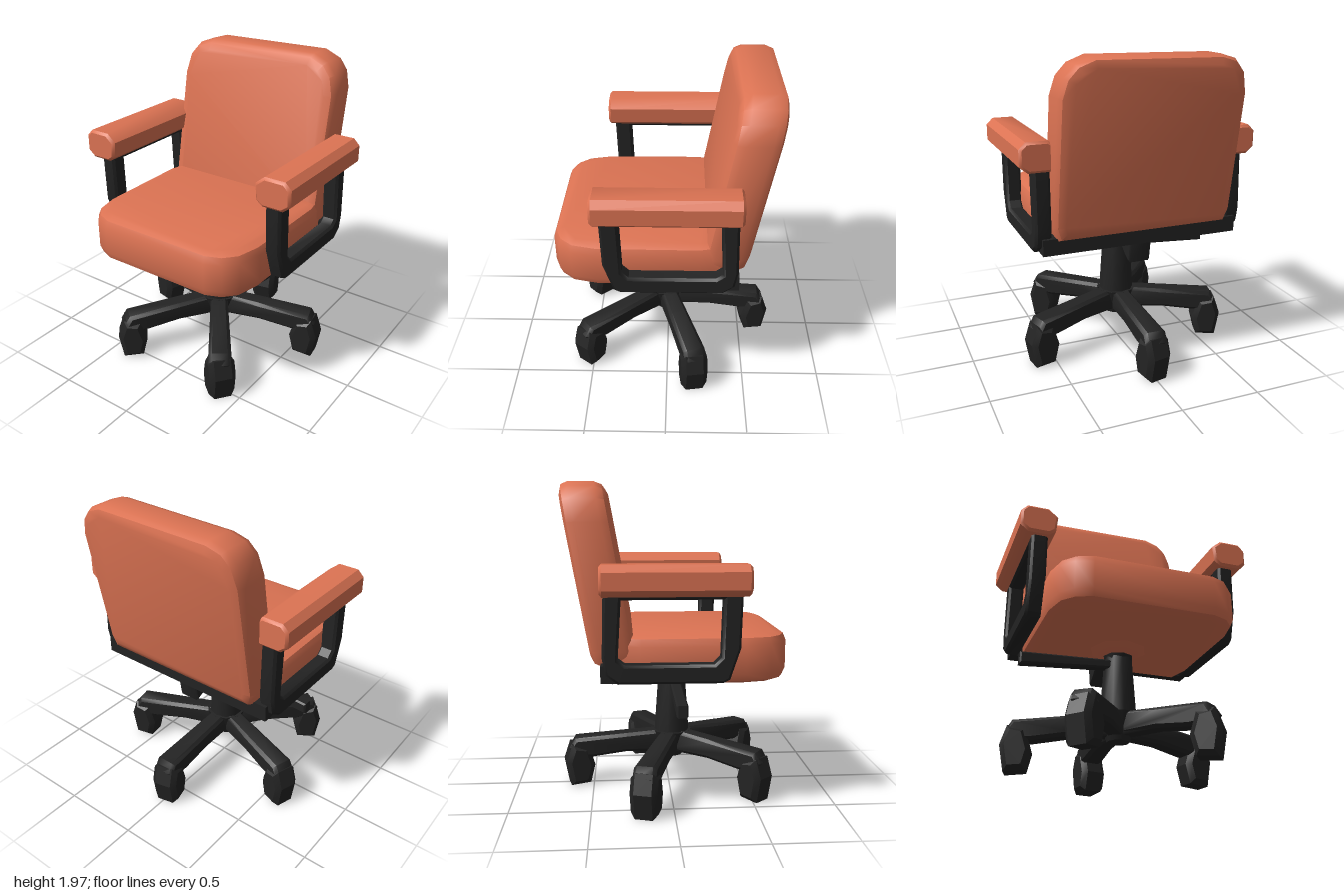
import * as THREE from 'three';
import { toCreasedNormals } from 'three/addons/utils/BufferGeometryUtils.js';

const upholstery = new THREE.MeshStandardMaterial({ color: 0xdc7353 });
upholstery.name = 'orange upholstery';
const plastic = new THREE.MeshStandardMaterial({ color: 0x232323 });
plastic.name = 'black plastic';

const path = (pts) => pts.map(([x, y]) => new THREE.Vector2(x, y));

// Bevelled slab of an outline, centred on its own depth
function slab(pts, depth, bevel, holes = [], segments = 2) {
  const shape = new THREE.Shape(path(pts));
  holes.forEach((h) => shape.holes.push(new THREE.Path(path(h))));
  const geo = new THREE.ExtrudeGeometry(shape, {
    depth: depth - 2 * bevel, bevelEnabled: true, bevelThickness: bevel,
    bevelSize: bevel, bevelOffset: -bevel, bevelSegments: segments,
  });
  return geo.translate(0, 0, -(depth - 2 * bevel) / 2);
}

// Moves every vertex by a rule
function warp(geo, rule) {
  const p = geo.attributes.position;
  const v = new THREE.Vector3();
  for (let i = 0; i < p.count; i++) {
    rule(v.fromBufferAttribute(p, i));
    p.setXYZ(i, v.x, v.y, v.z);
  }
  return geo;
}

export function createModel() {
  const chair = new THREE.Group();
  chair.name = 'officeChair';

  function add(name, geo, material, crease = 0.75, parent = chair) {
    const mesh = new THREE.Mesh(toCreasedNormals(geo, crease), material);
    mesh.name = name;
    parent.add(mesh);
    return mesh;
  }

  // Seat cushion, rounded at its front corners
  const seat = slab([
    [-0.54, -0.36], [0.54, -0.36], [0.58, -0.2], [0.575, 0.42], [0.54, 0.57], [0.47, 0.65], [0.37, 0.69],
    [-0.37, 0.69], [-0.47, 0.65], [-0.54, 0.57], [-0.575, 0.42], [-0.58, -0.2],
  ], 0.29, 0.06);
  add('seat', seat.rotateX(Math.PI / 2).translate(0, 0.965, 0), upholstery);

  // Leaning backrest
  const back = slab([
    [-0.54, 0.93], [0.54, 0.93], [0.57, 1.02], [0.57, 1.78], [0.54, 1.89], [0.48, 1.96], [0.38, 2.0],
    [-0.38, 1.99], [-0.48, 1.96], [-0.54, 1.89], [-0.57, 1.76], [-0.57, 1.02],
  ], 0.27, 0.06);
  warp(back, (v) => { v.z += -0.365 - 0.18 * (v.y - 1.05); });
  add('backrest', back, upholstery);

  // Armrest pads and their looped frames
  for (const side of [1, -1]) {
    const pad = slab([
      [0.53, 1.38], [0.57, 1.35], [0.7, 1.35], [0.75, 1.39], [0.75, 1.49], [0.71, 1.53],
      [0.58, 1.53], [0.52, 1.48],
    ].map(([x, y]) => [side * x, y]), 0.85, 0.015, [], 1);
    add('armrestPad', pad.translate(0, 0, -0.005), upholstery);

    const frame = slab([
      [0.38, 1.38], [0.37, 1.05], [0.31, 0.87], [0.27, 0.85], [-0.33, 0.85], [-0.4, 0.9],
      [-0.42, 1.0], [-0.41, 1.38],
    ], 0.1, 0.015, [[
      [0.27, 1.33], [-0.31, 1.33], [-0.33, 0.99], [-0.29, 0.96], [0.22, 0.96], [0.26, 1.0],
    ]], 1);
    add('armrestFrame', frame.rotateY(-Math.PI / 2).translate(side * 0.62, 0, 0), plastic);
  }

  // Crossbar behind the seat, with the tilt bracket below it
  add('crossbar', new THREE.BoxGeometry(1.26, 0.1, 0.1).translate(0, 0.9, -0.38), plastic);
  const bracket = slab([[-0.18, 0.83], [-0.3, 0.74], [-0.37, 0.71], [-0.4, 0.88], [-0.3, 0.88]], 0.14, 0.01, [], 1);
  add('tiltBracket', bracket.rotateY(-Math.PI / 2), plastic);

  // Seat mount, column and hub
  const cz = 0.02;
  const drum = (top, bottom, y0, y1, sides) =>
    new THREE.CylinderGeometry(top, bottom, y1 - y0, sides).translate(0, (y0 + y1) / 2, cz);
  add('seatMount', drum(0.2, 0.1, 0.775, 0.83, 8), upholstery);
  add('columnCap', drum(0.1, 0.085, 0.74, 0.785, 8), plastic);
  add('column', drum(0.088, 0.115, 0.36, 0.76, 10), plastic, 0.9);
  add('hub', drum(0.13, 0.07, 0.22, 0.39, 10), plastic, 0.9);

  // Height lever
  const lever = slab([[-0.64, 0.64], [-0.05, 0.68], [-0.05, 0.735], [-0.64, 0.715]], 0.07, 0.01, [], 1);
  add('heightLever', lever.translate(0, 0, 0.04), plastic);

  // Five legs with casters
  for (let i = 0; i < 5; i++) {
    const leg = new THREE.Group();
    leg.name = 'leg';
    leg.position.z = cz;
    leg.rotation.y = Math.PI + (i * Math.PI * 2) / 5;
    chair.add(leg);

    const arm = slab([
      [0, 0.25], [0.3, 0.25], [0.52, 0.22], [0.64, 0.22], [0.68, 0.28], [0.64, 0.345], [0.3, 0.375], [0, 0.4],
    ], 0.13, 0.02, [], 1).rotateY(-Math.PI / 2);
    warp(arm, (v) => { v.x *= 0.85 + 0.4 * v.z; });
    add('legArm', arm, plastic, 0.75, leg);

    const caster = slab([
      [-0.07, 0.04], [0.06, 0.03], [0.09, 0.19], [0.05, 0.31], [-0.06, 0.29], [-0.1, 0.16],
    ], 0.17, 0.03, [], 1).rotateY(-Math.PI / 2);
    const mesh = add('caster', caster, plastic, 0.5, leg);
    mesh.position.z = 0.62;
    mesh.rotation.y = 0.3 * Math.sin(i * 2.3 + 0.8);
  }
  return chair;
}
